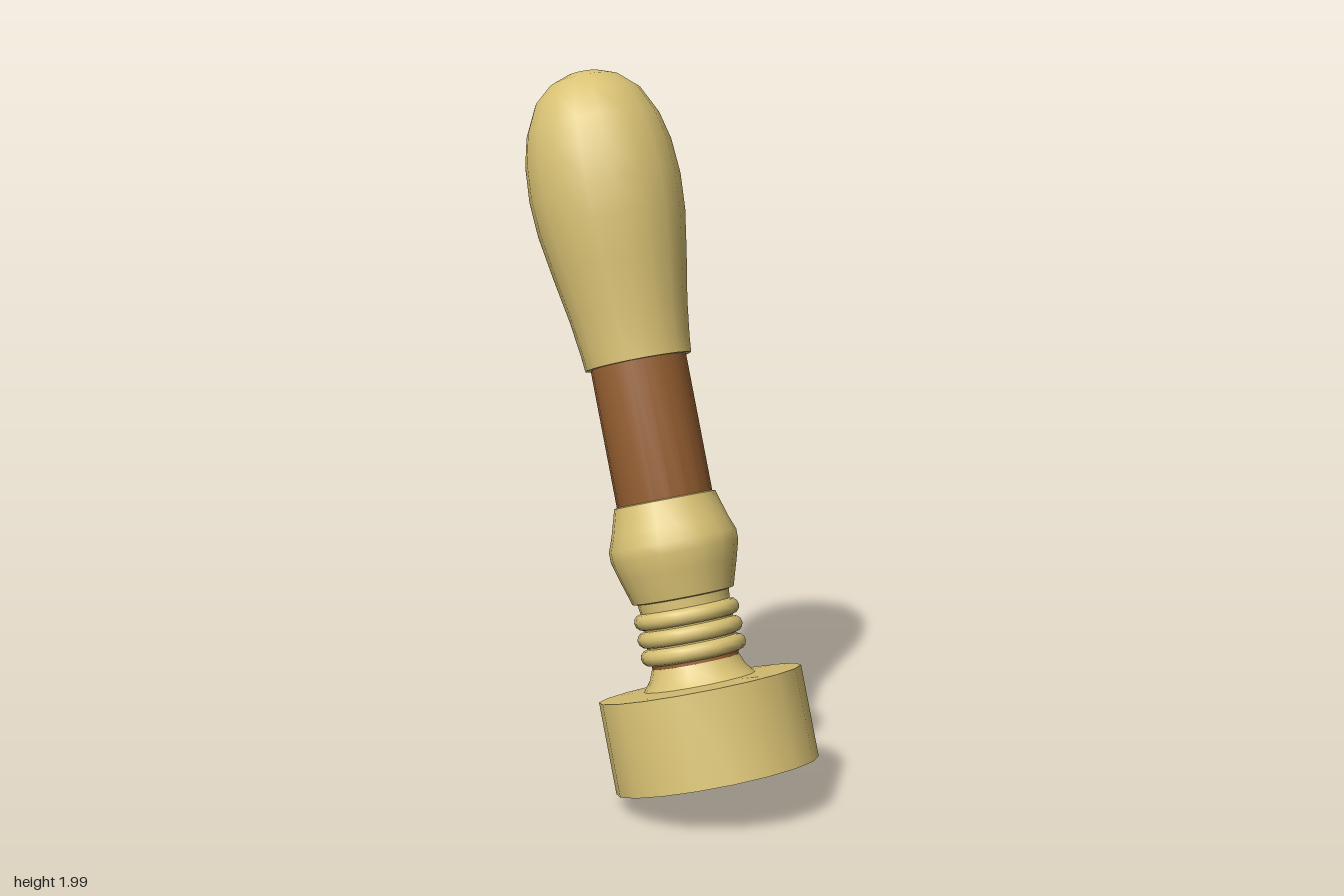
import * as THREE from 'three';
import { toCreasedNormals } from 'three/addons/utils/BufferGeometryUtils.js';

const SIDES = 18;

export function createModel() {
  const cream = new THREE.MeshStandardMaterial({ color: 0xd9c274 });
  cream.name = 'pale wood';
  const brown = new THREE.MeshStandardMaterial({ color: 0x965f31 });
  brown.name = 'brown wood';

  const tool = new THREE.Group();
  tool.name = 'handStamp';

  // Turned part: [radius, height] pairs, outside running upward
  function turned(name, profile, material, crease = 0.6) {
    const points = profile.map(([r, y]) => new THREE.Vector2(r, y));
    const geometry = toCreasedNormals(new THREE.LatheGeometry(points, SIDES), crease);
    const mesh = new THREE.Mesh(geometry, material);
    mesh.name = name;
    tool.add(mesh);
  }

  // Hollow foot: bowl inside, straight wall, sloping neck on top
  turned('footCup', [
    [0.115, 0.275], [0.17, 0.235], [0.215, 0.18], [0.248, 0.1], [0.265, 0],
    [0.285, 0], [0.285, 0.257], [0.157, 0.262], [0.135, 0.29], [0.123, 0.32], [0.115, 0.32],
  ], cream);

  // Shaft running through every other part
  turned('shaft', [
    [0, 0.275], [0.122, 0.275], [0.122, 0.5], [0.135, 0.52], [0.135, 1.25], [0, 1.25],
  ], brown);

  // Sleeve with three rounded beads
  const sleeve = [[0.12, 0.328]];
  for (const y of [0.353, 0.403, 0.453]) {
    for (let i = 0; i <= 6; i++) {
      const a = -Math.PI / 2 + (Math.PI * i) / 6;
      sleeve.push([0.126 + 0.022 * Math.cos(a), y + 0.023 * Math.sin(a)]);
    }
  }
  sleeve.push([0.13, 0.51]);
  turned('beadedSleeve', sleeve, cream, 0.9);

  // Double-cone collar
  turned('collar', [
    [0.12, 0.5], [0.143, 0.505], [0.166, 0.58], [0.18, 0.63], [0.18, 0.66],
    [0.165, 0.7], [0.143, 0.775], [0.134, 0.778],
  ], cream);

  // Swelling grip with a domed end
  turned('grip', [
    [0.134, 1.165], [0.15, 1.165], [0.154, 1.21], [0.167, 1.31], [0.19, 1.44], [0.209, 1.56],
    [0.215, 1.66], [0.208, 1.76], [0.189, 1.84], [0.15, 1.92], [0.1, 1.965], [0.05, 1.985], [0, 1.99],
  ], cream, 1);

  // Lean the whole tool toward its right
  tool.rotation.z = THREE.MathUtils.degToRad(17.5);
  tool.position.set(0.23, 0.087, 0);

  const model = new THREE.Group();
  model.name = 'leaningHandStamp';
  model.add(tool);
  return model;
}
